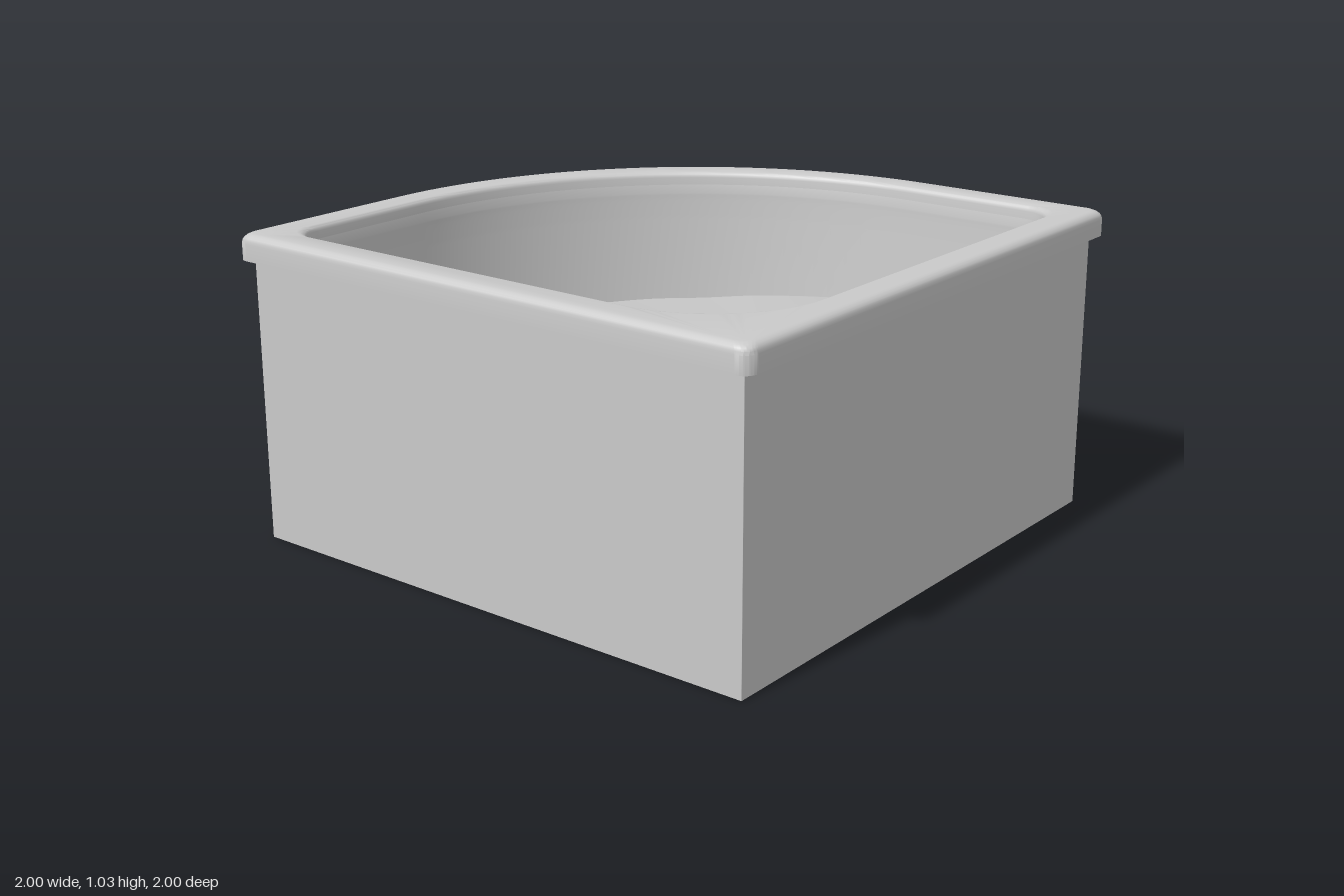
import * as THREE from 'three';
import { toCreasedNormals } from 'three/addons/utils/BufferGeometryUtils.js';

const LIP_Y = 0.985, SEAT_Y = 0.92, FLOOR_Y = 0.37;

// Plan outline: three corners with radii r, and one big quarter arc at the back
function outline(inset, r, n) {
  const pts = [], signs = [[1, -1], [1, 1], [-1, 1], [-1, -1]];
  signs.forEach(([sx, sz], k) => {
    const rad = k === 3 ? 1.3 - inset : r[k], c = 1 - inset - rad;
    for (let i = 0; i <= n; i++) {
      const a = (k - 1 + i / n) * Math.PI / 2;
      pts.push([sx * c + rad * Math.cos(a), sz * c + rad * Math.sin(a)]);
    }
  });
  return pts;
}

const at = (pts, y) => pts.map(([x, z]) => [x, y, z]);

// Joins closed rings of equal point count
function loft(rings, crease) {
  const n = rings[0].length, index = [];
  for (let j = 0; j < rings.length - 1; j++) {
    for (let i = 0; i < n; i++) {
      const a = j * n + i, b = j * n + (i + 1) % n;
      index.push(a, a + n, b + n, a, b + n, b);
    }
  }
  const g = new THREE.BufferGeometry();
  g.setAttribute('position', new THREE.Float32BufferAttribute(rings.flat(2), 3));
  g.setIndex(index);
  return toCreasedNormals(g, crease);
}

export function createModel() {
  const group = new THREE.Group();
  const grey = new THREE.MeshStandardMaterial({ color: 0xcacaca, side: THREE.DoubleSide });
  grey.name = 'grey';
  const add = (name, geometry) => {
    const m = new THREE.Mesh(geometry, grey);
    m.name = name;
    group.add(m);
  };

  // Hollow apron, open at the bottom
  const sharp = [0.001, 0.001, 0.001];
  add('apron', loft([[0.09, 1], [0.09, 0], [0.04, 0], [0.04, 1]]
    .map(([d, y]) => at(outline(d, sharp, 10), y)), 0.05));

  // Rim with a hanging lip and rounded edges
  const N = 32;
  const rim = [[0.045, 1], [0.015, 1], [0.015, 0.945], [0, 0.945], [0, 1]];
  for (let i = 1; i <= 5; i++) {
    const a = i / 5 * Math.PI / 2;
    rim.push([0.03 * (1 - Math.cos(a)), 1 + 0.03 * Math.sin(a)]);
  }
  const rings = rim.map(([d, y]) => at(outline(d, [0.045, 0.045, 0.045], N), y));
  const inner = d => outline(d, [0.12, 0.4, 0.12], N);
  for (let i = 0; i <= 5; i++) {
    const a = i / 5 * Math.PI / 2;
    rings.push(at(inner(0.1 + 0.02 * Math.sin(a)), 1.01 + 0.02 * Math.cos(a)));
  }
  rings.push(at(inner(0.122), LIP_Y));
  add('rim', loft(rings, 0.6));

  // Basin outline: the front corner is replaced by the wavy edge of the seat
  const wave = new THREE.CatmullRomCurve3([
    [0.878, -0.03], [0.85, 0.08], [0.76, 0.16], [0.62, 0.21], [0.49, 0.28], [0.385, 0.385],
    [0.28, 0.49], [0.21, 0.62], [0.16, 0.76], [0.08, 0.85], [-0.03, 0.878],
  ].map(([x, z]) => new THREE.Vector3(x, 0, z)));
  const base = inner(0.122);
  wave.getSpacedPoints(N).forEach((p, i) => { base[N + 1 + i] = [p.x, p.z]; });

  // Moves the basin outline inward, by tSeat along the seat and tWall elsewhere;
  // lift raises the ends of the seat edge
  const basinRing = (tSeat, tWall, y, lift) => base.map(([x, z], i) => {
    const p = base[(i + base.length - 1) % base.length], q = base[(i + 1) % base.length];
    const tx = q[0] - p[0], tz = q[1] - p[1], len = Math.hypot(tx, tz);
    const u = Math.max(0, Math.min(1, (i - N - 1) / N));
    const w = Math.min(1, 5 * Math.min(u, 1 - u));
    const t = tWall + (tSeat - tWall) * w;
    return [x - tz / len * t, y + lift * (1 - Math.sin(Math.PI * u)), z + tx / len * t];
  });
  const slope = y => 0.05 * (LIP_Y - y) / (LIP_Y - FLOOR_Y);

  // Sloping seat, then its rounded edge, the walls and the floor fillet
  const basin = [at(inner(0.122), LIP_Y)];
  for (let i = 0; i <= 8; i++) {
    const a = i / 8 * Math.PI / 2, y = SEAT_Y - 0.06 * (1 - Math.cos(a));
    basin.push(basinRing(0.06 * Math.sin(a), slope(y), y, 0.035 * (1 - i / 8)));
  }
  for (let i = 0; i <= 6; i++) {
    const a = i / 6 * Math.PI / 2, y = FLOOR_Y + 0.04 * (1 - Math.sin(a));
    const t = 0.035 * (1 - Math.cos(a));
    basin.push(basinRing(0.065 + t, 0.05 + t, y, 0));
  }
  add('basinAndSeat', loft(basin, 0.8));

  // Floor with a drain opening
  const floor = new THREE.Shape(basin[basin.length - 1].map(([x, , z]) => new THREE.Vector2(x, -z)));
  const hole = new THREE.Path();
  hole.absarc(0.593, 0.605, 0.095, 0, Math.PI * 2, true);
  floor.holes.push(hole);
  const floorGeometry = new THREE.ShapeGeometry(floor, 24);
  floorGeometry.rotateX(-Math.PI / 2).translate(0, FLOOR_Y, 0);
  add('floor', floorGeometry);

  // Dished drain edge
  const drain = [[0.095, 0], [0.085, 0.003], [0.077, 0.01], [0.072, 0.025]].map(([r, d]) =>
    Array.from({ length: 48 }, (_, i) => {
      const a = i / 48 * Math.PI * 2;
      return [0.593 + r * Math.cos(a), FLOOR_Y - d, -0.605 + r * Math.sin(a)];
    }));
  add('drainEdge', loft(drain, 0.9));

  return group;
}
